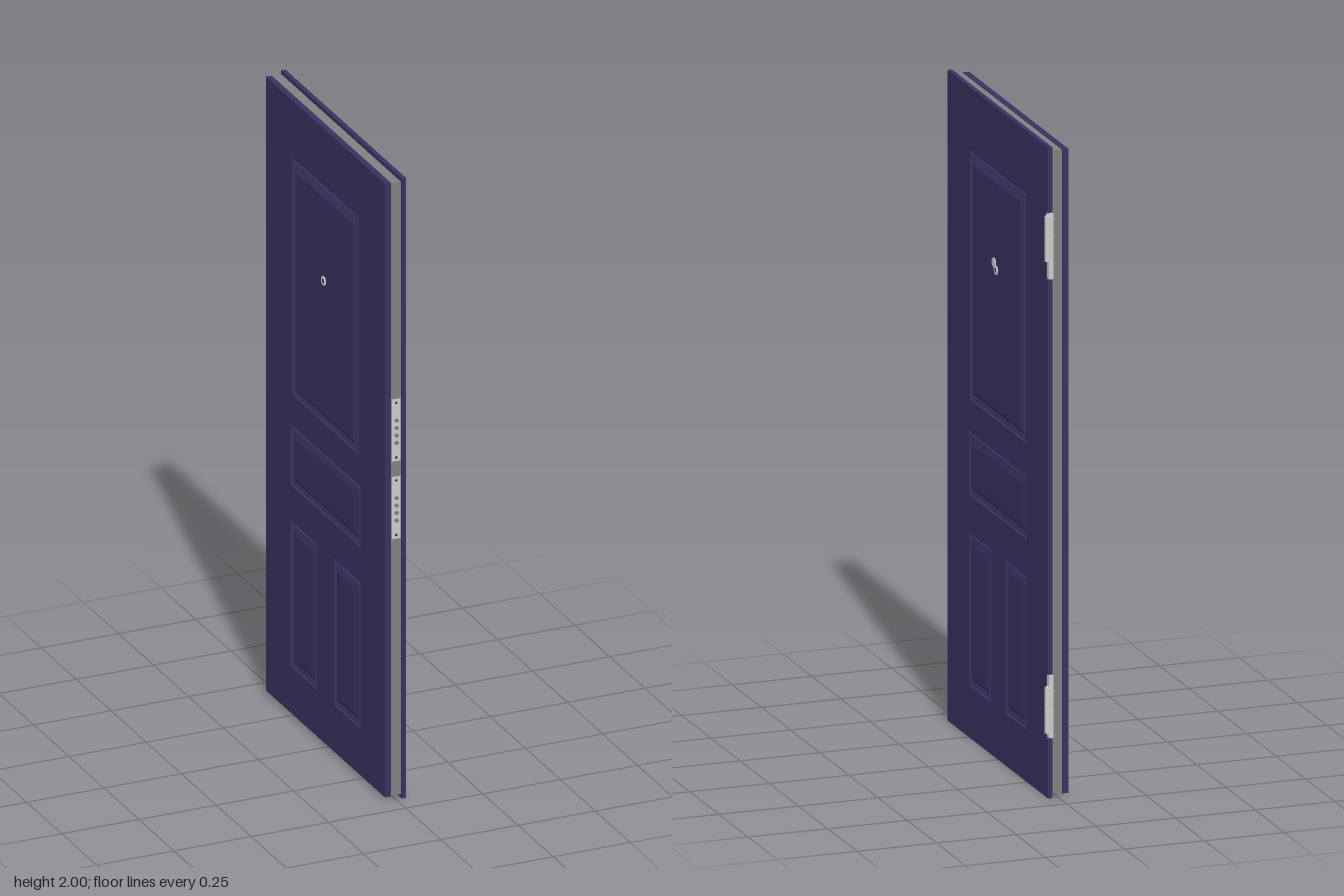
import * as THREE from 'three';

const paint = new THREE.MeshStandardMaterial({ color: 0x3b3060, flatShading: true });
const coreGrey = new THREE.MeshStandardMaterial({ color: 0x808080 });
const steel = new THREE.MeshStandardMaterial({ color: 0xcccccc });
const dark = new THREE.MeshStandardMaterial({ color: 0x333333 });

// Panels as [u centre, y bottom, y top, half width, height of the raised field]
const PANELS = [
  [0, 1.04, 1.81, 0.24, 0.005],
  [0, 0.745, 0.945, 0.25, 0.001],
  [0.155, 0.16, 0.635, 0.095, 0.001],
  [-0.155, 0.16, 0.635, 0.095, 0.001],
];
const HINGES = [[1.59, 1.8, 1.65, 1.79], [0.18, 0.38, 0.2, 0.34]];

function add(parent, name, geometry, material, x = 0, y = 0, z = 0) {
  const mesh = new THREE.Mesh(geometry, material);
  mesh.name = name;
  mesh.position.set(x, y, z);
  parent.add(mesh);
  return mesh;
}

function box(parent, name, material, x0, x1, y0, y1, z0, z1) {
  return add(parent, name, new THREE.BoxGeometry(x1 - x0, y1 - y0, z1 - z0), material,
    (x0 + x1) / 2, (y0 + y1) / 2, (z0 + z1) / 2);
}

const corners = (u, y0, y1, w, inset) => [
  [u - w + inset, y0 + inset], [u + w - inset, y0 + inset],
  [u + w - inset, y1 - inset], [u - w + inset, y1 - inset],
];

// Moulded panel: nested rectangles joined into sloping bands, closed by a flat field
function panelGeometry([u, y0, y1, w, field]) {
  const profile = [[0, 0], [0.004, -0.006], [0.01, -0.006], [0.014, -0.001], [0.018, -0.004], [0.038, field]];
  const rings = profile.map(([inset, d]) => corners(u, y0, y1, w, inset).map(([a, b]) => [a, b, d]));
  const pos = [];
  const quad = (a, b, c, d) => pos.push(...a, ...b, ...c, ...a, ...c, ...d);
  for (let i = 0; i < rings.length - 1; i++) {
    for (let k = 0; k < 4; k++) {
      const n = (k + 1) % 4;
      quad(rings[i][k], rings[i][n], rings[i + 1][n], rings[i + 1][k]);
    }
  }
  quad(...rings[rings.length - 1]);
  const g = new THREE.BufferGeometry();
  g.setAttribute('position', new THREE.Float32BufferAttribute(pos, 3));
  g.computeVertexNormals();
  return g;
}

// One painted face, built facing local +z with its outer surface at z = 0
function doorFace(name, outline, thickness) {
  const face = new THREE.Group();
  face.name = name;
  const shape = new THREE.Shape(outline.map(([a, b]) => new THREE.Vector2(a, b)));
  for (const [u, y0, y1, w] of PANELS) {
    shape.holes.push(new THREE.Path(corners(u, y0, y1, w, 0).reverse().map(([a, b]) => new THREE.Vector2(a, b))));
  }
  const skin = new THREE.ExtrudeGeometry(shape, { depth: thickness, bevelEnabled: false });
  add(face, 'skin', skin, paint, 0, 0, -thickness);
  PANELS.forEach((p) => add(face, 'mouldedPanel', panelGeometry(p), paint));
  // Spyhole: rim with a dark lens
  const rim = add(face, 'spyholeRim', new THREE.TorusGeometry(0.011, 0.004, 8, 24), steel, 0, 1.505, 0.006);
  rim.scale.z = 0.9;
  add(face, 'spyholeLens', new THREE.CylinderGeometry(0.01, 0.01, 0.004, 24).rotateX(Math.PI / 2), dark, 0, 1.505, 0.006);
  return face;
}

export function createModel() {
  const door = new THREE.Group();
  door.name = 'door';

  // Core between the two faces
  box(door, 'core', coreGrey, -0.014, 0.019, 0.012, 1.988, -0.422, 0.426);

  // Wider face on +x, with cut-outs for the hinges along its -z edge
  const wide = [[-0.432, 0], [0.43, 0]];
  for (const [y0, y1] of [...HINGES].reverse()) {
    wide.push([0.43, y0], [0.41, y0], [0.41, y1], [0.43, y1]);
  }
  wide.push([0.43, 2], [-0.432, 2]);
  const outer = doorFace('outerFace', wide, 0.014);
  outer.rotation.y = Math.PI / 2;
  outer.position.x = 0.032;
  door.add(outer);
  // Swinging cover of the spyhole
  add(outer, 'spyholeCover', new THREE.CylinderGeometry(0.015, 0.015, 0.003, 24).rotateX(Math.PI / 2),
    steel, -0.014, 1.525, 0.008);

  // Narrower face on -x
  const inner = doorFace('innerFace', [[-0.426, 0.01], [0.425, 0.01], [0.425, 1.99], [-0.426, 1.99]], 0.019);
  inner.rotation.y = -Math.PI / 2;
  inner.position.x = -0.033;
  door.add(inner);

  // Hinges: leaf against the edge, barrel in two knuckles with a pin
  for (const [y0, y1, b0, b1] of HINGES) {
    const hinge = new THREE.Group();
    hinge.name = 'hinge';
    door.add(hinge);
    box(hinge, 'leaf', steel, 0.014, 0.028, y0 + 0.004, y1 - 0.004, -0.425, -0.41);
    box(hinge, 'arm', steel, 0.022, 0.034, b0, b1, -0.428, -0.41);
    const mid = (b0 + b1) / 2;
    for (const s of [-1, 1]) {
      const h = (b1 - b0) / 2 - 0.002;
      add(hinge, 'knuckle', new THREE.CylinderGeometry(0.009, 0.009, h, 20), steel, 0.033, mid + s * (h / 2 + 0.001), -0.427);
    }
    add(hinge, 'pin', new THREE.CylinderGeometry(0.006, 0.006, b1 - b0, 16), steel, 0.033, mid, -0.427);
  }

  // Lock plates on the +z edge, each with a column of small bolts and a latch
  for (const [y0, y1] of [[1.09, 1.29], [0.84, 1.04]]) {
    const lock = new THREE.Group();
    lock.name = 'lock';
    door.add(lock);
    box(lock, 'lockPlate', steel, -0.012, 0.016, y0, y1, 0.425, 0.428);
    for (let i = 0; i < 4; i++) {
      add(lock, 'bolt', new THREE.CylinderGeometry(0.006, 0.006, 0.006, 16).rotateX(Math.PI / 2),
        coreGrey, 0.002, y0 + 0.06 + i * 0.024, 0.43);
    }
    for (const y of [y0 + 0.012, y1 - 0.012]) {
      add(lock, 'screw', new THREE.CylinderGeometry(0.004, 0.004, 0.002, 12).rotateX(Math.PI / 2), dark, 0.002, y, 0.428);
    }
  }
  return door;
}
